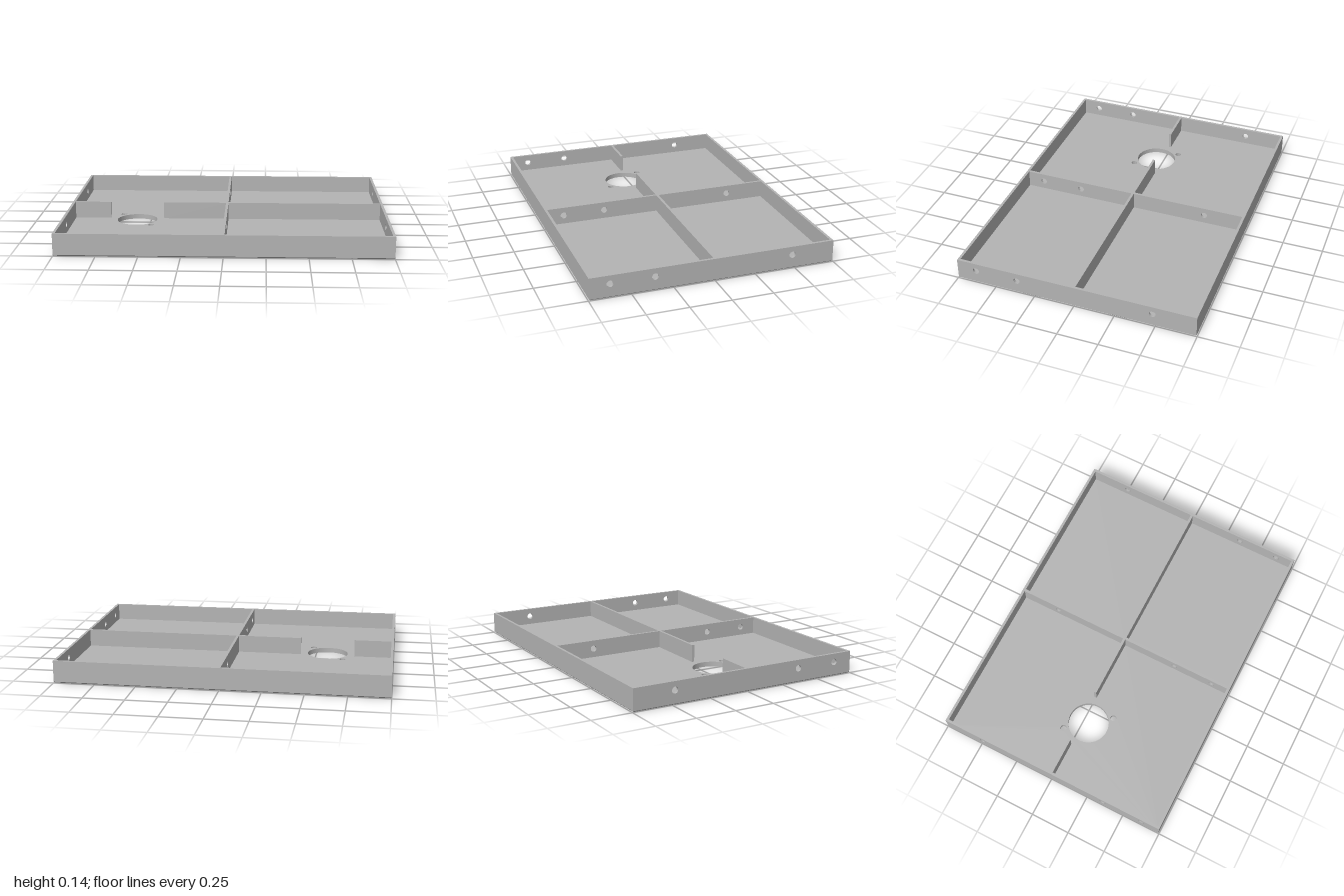
import * as THREE from 'three';
import { toCreasedNormals } from 'three/addons/utils/BufferGeometryUtils.js';

const W = 1, D = 0.746;        // half width and half depth
const H = 0.137, FLOOR = 0.03; // total height, floor thickness
const T = 0.016;               // wall and rib thickness
const CHAMFER = 0.007;

// Rectangle with round holes given as [x, y, radius]
function plateShape(x0, y0, x1, y1, holes) {
  const shape = new THREE.Shape([[x0, y0], [x1, y0], [x1, y1], [x0, y1]].map(p => new THREE.Vector2(...p)));
  for (const [x, y, r] of holes) shape.holes.push(new THREE.Path().absarc(x, y, r, 0, Math.PI * 2, true));
  return shape;
}

// Floor slab whose lower outer edge is chamfered
function floorGeometry() {
  const shape = plateShape(-W, -D, W, D, [
    [-0.58, -0.04, 0.128],    // large opening
    [-0.681, 0.086, 0.019],   // screw holes
    [-0.481, -0.166, 0.019],
  ]);
  const g = new THREE.ExtrudeGeometry(shape, { depth: FLOOR, steps: 2, bevelEnabled: false, curveSegments: 48 });
  g.rotateX(-Math.PI / 2);
  const p = g.attributes.position;
  for (let i = 0; i < p.count; i++) {
    const x = p.getX(i), y = p.getY(i), z = p.getZ(i);
    if (y < 0.001) {
      if (Math.abs(x) > W - 0.001) p.setX(i, Math.sign(x) * (W - CHAMFER));
      if (Math.abs(z) > D - 0.001) p.setZ(i, Math.sign(z) * (D - CHAMFER));
    } else if (y < FLOOR - 0.001) {
      p.setY(i, CHAMFER);
    }
  }
  return toCreasedNormals(g, 0.5);
}

// Upright panel along z, pierced by three cable holes
function piercedWall(halfDepth) {
  const holes = [0.625, 0.36, -0.483].map(z => [z, 0.085, 0.02]);
  const shape = plateShape(-halfDepth, FLOOR, halfDepth, H, holes);
  const g = new THREE.ExtrudeGeometry(shape, { depth: T, bevelEnabled: false, curveSegments: 24 });
  g.rotateY(-Math.PI / 2);
  g.translate(T / 2, 0, 0);
  return toCreasedNormals(g, 0.5);
}

export function createModel() {
  const model = new THREE.Group();
  model.name = 'dividedTray';
  const grey = new THREE.MeshStandardMaterial({ color: 0xb4b4b4 });
  grey.name = 'grey';

  const add = (name, geometry, x = 0, y = 0, z = 0) => {
    const mesh = new THREE.Mesh(geometry, grey);
    mesh.name = name;
    mesh.position.set(x, y, z);
    model.add(mesh);
  };
  // Plain upright panel running along x
  const panel = (name, x0, x1, z) =>
    add(name, new THREE.BoxGeometry(x1 - x0, H - FLOOR, T), (x0 + x1) / 2, (H + FLOOR) / 2, z);

  add('floor', floorGeometry());

  // Outer walls
  add('leftWall', piercedWall(D), W - T / 2);
  add('rightWall', piercedWall(D), -W + T / 2);
  panel('frontWall', -W + T, W - T, D - T / 2);
  panel('backWall', -W + T, W - T, -D + T / 2);

  // Dividing ribs, with a gap around the large opening
  add('middleRib', piercedWall(D - T));
  panel('leftRib', T / 2, W - T, 0);
  panel('rightInnerRib', -0.41, -T / 2, 0);
  panel('rightOuterRib', -W + T, -0.752, 0);

  return model;
}
